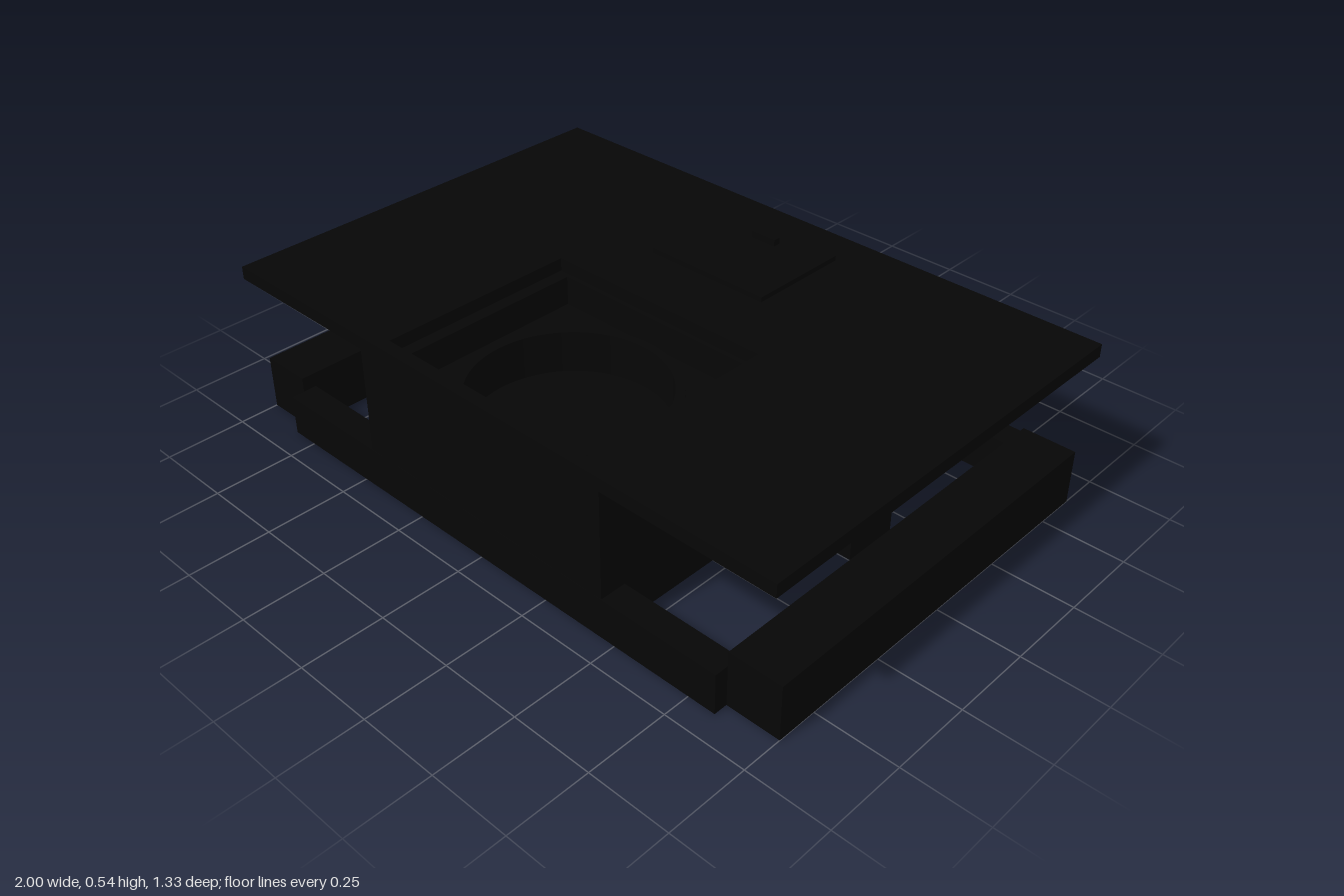
import * as THREE from 'three';

export function createModel() {
  const model = new THREE.Group();
  const black = new THREE.MeshStandardMaterial({ color: 0x060606 });
  black.name = 'black';

  const add = (name, geometry, x = 0, y = 0, z = 0) => {
    const mesh = new THREE.Mesh(geometry, black);
    mesh.name = name;
    mesh.position.set(x, y, z);
    model.add(mesh);
    return mesh;
  };
  // Box given by its limits on each axis
  const box = (name, x0, x1, y0, y1, z0, z1) =>
    add(name, new THREE.BoxGeometry(x1 - x0, y1 - y0, z1 - z0),
      (x0 + x1) / 2, (y0 + y1) / 2, (z0 + z1) / 2);
  // Cylinder lying along z
  const drum = (name, r, y, z0, z1) =>
    add(name, new THREE.CylinderGeometry(r, r, z1 - z0, 32).rotateX(Math.PI / 2), 0, y, (z0 + z1) / 2);
  const rect = (Type, x0, x1, z0, z1) => {
    const p = new Type();
    p.moveTo(x0, z0);
    p.lineTo(x1, z0);
    p.lineTo(x1, z1);
    p.lineTo(x0, z1);
    p.closePath();
    return p;
  };
  const circle = (Type, r) => new Type().absarc(0, 0.33, r, 0, Math.PI * 2);
  // Horizontal slab with a hole, from y0 up to y1
  const slab = (name, outline, hole, y0, y1) => {
    outline.holes.push(hole);
    const geometry = new THREE.ExtrudeGeometry(outline,
      { depth: y1 - y0, bevelEnabled: false, curveSegments: 32 });
    geometry.rotateX(Math.PI / 2);
    return add(name, geometry, 0, y1, 0);
  };

  // Table top with a rectangular opening
  slab('tableTop', rect(THREE.Shape, -1, 1, -0.667, 0.667),
    rect(THREE.Path, -0.375, 0.375, 0, 0.625), 0.46, 0.5);

  // Central cabinet: solid base, well walls, floor with a round basin
  box('cabinetBase', -0.455, 0.455, 0, 0.25, -0.167, 0.665);
  slab('cabinetWalls', rect(THREE.Shape, -0.455, 0.455, -0.167, 0.665),
    rect(THREE.Path, -0.335, 0.335, 0.015, 0.645), 0.25, 0.46);
  slab('wellFloor', rect(THREE.Shape, -0.335, 0.335, 0.015, 0.645),
    circle(THREE.Path, 0.3), 0.25, 0.37);
  slab('basinRim', circle(THREE.Shape, 0.312), circle(THREE.Path, 0.285), 0.25, 0.38);

  // Base frame, with posts hanging from the table top
  for (const s of [-1, 1]) {
    const side = s > 0 ? 'left' : 'right';
    const railX = s * 0.9175, postX = s * 0.751, endZ = s * 0.625;
    box(side + 'SideRail', railX - 0.0825, railX + 0.0825, 0, 0.17, -0.625, 0.625);
    box(s > 0 ? 'frontRail' : 'backRail', -0.835, 0.835, 0, 0.125, endZ - 0.042, endZ + 0.042);
    box(side + 'Post', postX - 0.084, postX + 0.084, 0.17, 0.46, 0, 0.167);
  }

  // Rear housing with motor drum, shaft and wheel
  box('rearHousing', -0.243, 0.243, 0.1, 0.42, -0.458, -0.167);
  drum('motorDrum', 0.16, 0.26, -0.54, -0.458);
  drum('shaft', 0.066, 0.253, -0.625, -0.54);
  drum('wheel', 0.138, 0.263, -0.667, -0.62);
  add('housingStub', new THREE.CylinderGeometry(0.042, 0.042, 0.04, 24), 0, 0.44, -0.29);

  // Hatch on the table top
  box('hatch', -0.207, 0.207, 0.5, 0.515, -0.54, -0.21);
  box('hatchHandle', -0.042, 0.042, 0.515, 0.535, -0.484, -0.46);

  // Fittings on the cabinet sides
  box('sideHandle', 0.455, 0.484, 0.338, 0.375, 0.25, 0.5);
  box('sidePanel', -0.462, -0.455, 0.185, 0.32, 0.2, 0.5);
  box('sideLedge', -0.485, -0.455, 0.125, 0.185, 0.2, 0.5);

  return model;
}
